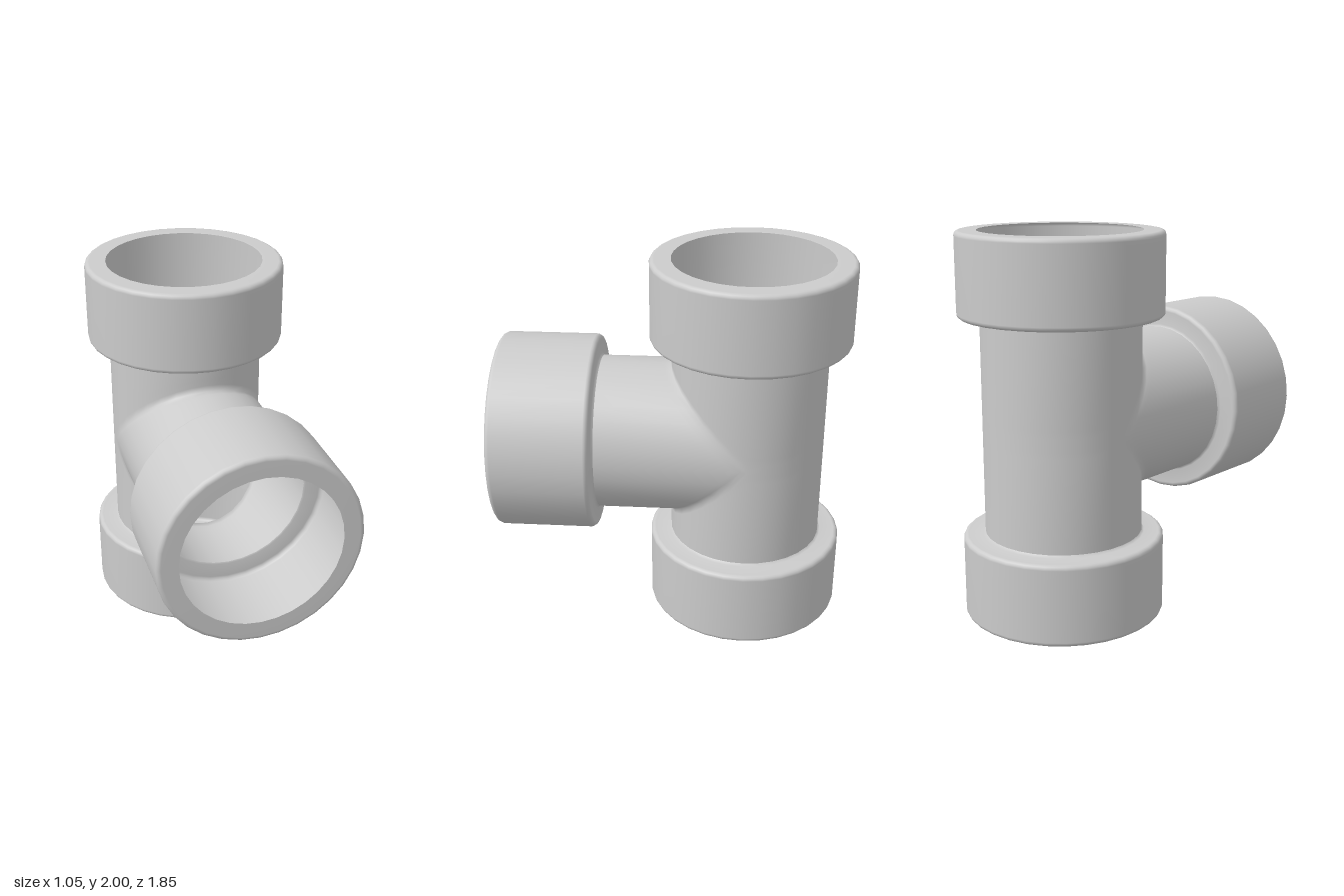
import * as THREE from 'three';
import { mergeGeometries, mergeVertices } from 'three/addons/utils/BufferGeometryUtils.js';

const SIDES = 32, PIPE = 0.412, COLLAR = 0.526, ROUND = 0.025;

// Pipe arm along +y, starting on the mitre line where the arms meet.
function armGeometry(length, mitre) {
  const g = new THREE.CylinderGeometry(PIPE, PIPE, 1, SIDES, 3, true);
  g.deleteAttribute('uv');
  g.deleteAttribute('normal');
  const p = g.attributes.position;
  for (let i = 0; i < p.count; i++) {
    const row = Math.round((p.getY(i) + 0.5) * 3);
    const start = mitre(p.getZ(i));
    // a narrow row beside the mitre keeps the blend tight
    const y = [start, start + 0.035, start + 0.07, length][row];
    p.setY(i, y);
  }
  return g;
}

// Thin-walled socket: shoulder, rounded wall, rounded rim and flat mouth ring.
function collarGeometry(height) {
  const pts = [new THREE.Vector2(PIPE, -0.012), new THREE.Vector2(PIPE + 0.012, 0)];
  const corner = (y, from) => {
    for (let i = 0; i <= 4; i++) {
      const a = from + (i / 4) * Math.PI / 2;
      pts.push(new THREE.Vector2(COLLAR - ROUND + ROUND * Math.cos(a), y + ROUND * Math.sin(a)));
    }
  };
  corner(ROUND, -Math.PI / 2);
  corner(height - ROUND, 0);
  pts.push(new THREE.Vector2(PIPE + 0.003, height));
  return new THREE.LatheGeometry(pts, SIDES);
}

export function createModel() {
  const model = new THREE.Group();
  model.name = 'pipeTee';
  const material = new THREE.MeshStandardMaterial({ color: 0xcccccc, side: THREE.DoubleSide });

  const run = z => Math.max(0, z);
  const arms = [
    { name: 'top', length: 0.57, collar: 0.43, mitre: run, rotation: [0, 0, 0] },
    { name: 'bottom', length: 0.57, collar: 0.43, mitre: run, rotation: [0, 0, Math.PI] },
    { name: 'branch', length: 0.8, collar: 0.525, mitre: Math.abs, rotation: [Math.PI / 2, 0, 0] },
  ];

  // Everything is laid out around the point where the pipe axes cross.
  const tee = new THREE.Group();
  tee.name = 'tee';
  tee.position.set(0, 1, -0.4);
  model.add(tee);

  const pipes = arms.map(arm => {
    const turn = new THREE.Matrix4().makeRotationFromEuler(new THREE.Euler(...arm.rotation));
    const collar = new THREE.Mesh(collarGeometry(arm.collar).translate(0, arm.length, 0), material);
    collar.name = arm.name + 'Collar';
    collar.rotation.set(...arm.rotation);
    tee.add(collar);
    return armGeometry(arm.length, arm.mitre).applyMatrix4(turn);
  });

  // Weld the three arms into one smooth pipe body.
  const body = mergeVertices(mergeGeometries(pipes), 1e-4);
  body.computeVertexNormals();
  const pipe = new THREE.Mesh(body, material);
  pipe.name = 'pipeBody';
  tee.add(pipe);

  return model;
}
